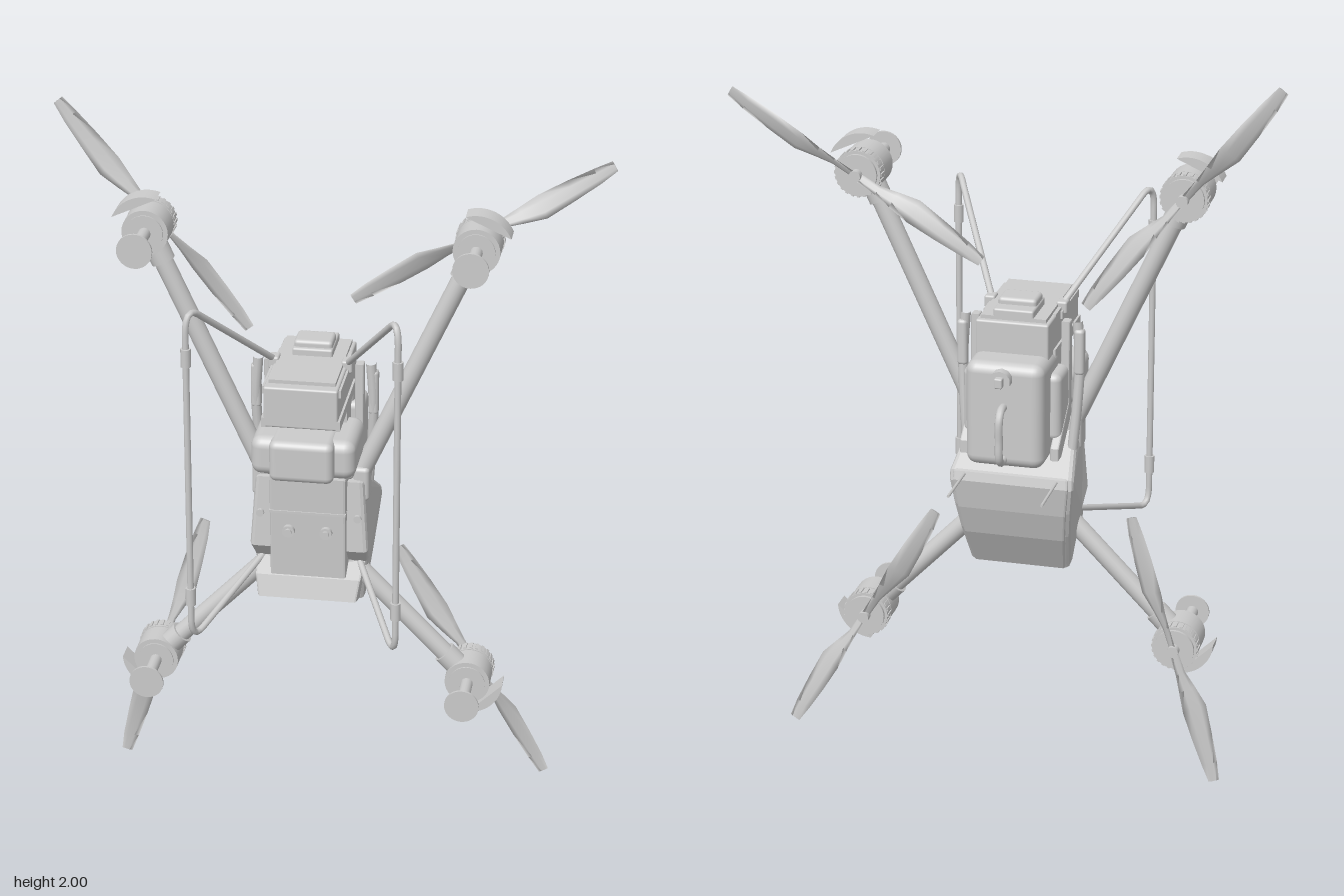
import * as THREE from 'three';
import { RoundedBoxGeometry } from 'three/addons/geometries/RoundedBoxGeometry.js';

const mat = new THREE.MeshStandardMaterial({ color: 0xcccccc });
const matDouble = new THREE.MeshStandardMaterial({ color: 0xcccccc, side: THREE.DoubleSide });
const V = (x, y, z) => new THREE.Vector3(x, y, z);

function add(parent, name, geo, material = mat) {
  const m = new THREE.Mesh(geo, material);
  m.name = name;
  parent.add(m);
  return m;
}

// Box given by its centre x, width and the y and z ranges; r rounds the edges
function box(parent, name, x, w, y0, y1, z0, z1, r = 0) {
  const h = y1 - y0, d = z1 - z0;
  const g = r ? new RoundedBoxGeometry(w, h, d, 3, r) : new THREE.BoxGeometry(w, h, d);
  const m = add(parent, name, g);
  m.position.set(x, (y0 + y1) / 2, (z0 + z1) / 2);
  return m;
}

// Cylinder between two points
function rod(parent, name, a, b, r, sides = 20, r2 = r) {
  const m = add(parent, name, new THREE.CylinderGeometry(r2, r, a.distanceTo(b), sides));
  m.position.copy(a).lerp(b, 0.5);
  m.quaternion.setFromUnitVectors(V(0, 1, 0), b.clone().sub(a).normalize());
  return m;
}

// Side profile [z, y] extruded across x, centred at x
function profile(parent, name, pts, width, x = 0, bevel = 0.008, half = null) {
  const shape = new THREE.Shape(pts.map(p => new THREE.Vector2(p[0], p[1])));
  const g = new THREE.ExtrudeGeometry(shape, {
    depth: width - 2 * bevel, bevelEnabled: bevel > 0, bevelSize: bevel, bevelThickness: bevel,
    bevelOffset: -bevel, bevelSegments: 2, steps: 1,
  });
  g.translate(0, 0, -(width - 2 * bevel) / 2).rotateY(-Math.PI / 2);
  if (half) {
    // Taper: scale x by the half-width wanted at this height
    const p = g.attributes.position;
    for (let i = 0; i < p.count; i++) p.setX(i, p.getX(i) * half(p.getY(i)) / (width / 2));
    g.computeVertexNormals();
  }
  const m = add(parent, name, g);
  m.position.x = x;
  return m;
}

// Twisted blade lofted along +x from six-point sections
function bladeGeometry(spin) {
  const stations = [ // distance, chord, chord offset, pitch
    [0.01, 0.024, 0, 0.5], [0.07, 0.028, 0, 0.6], [0.12, 0.048, 0.004, 0.6], [0.18, 0.068, 0.008, 0.45],
    [0.27, 0.057, 0.004, 0.3], [0.35, 0.044, 0.001, 0.18], [0.404, 0.03, -0.002, 0.1]];
  const section = [[-0.5, 0], [-0.2, -0.05], [0.25, -0.05], [0.5, 0], [0.25, 0.05], [-0.2, 0.05]];
  const pos = [], idx = [], n = section.length;
  for (const [d, c, off, pitch] of stations)
    for (const [u, v] of section) {
      const a = u * c, b = v * c;
      pos.push(d, spin * (off + a * Math.cos(pitch) - b * Math.sin(pitch)), a * Math.sin(pitch) + b * Math.cos(pitch));
    }
  for (let s = 0; s < stations.length - 1; s++)
    for (let i = 0; i < n; i++) {
      const a = s * n + i, b = s * n + (i + 1) % n;
      idx.push(a, a + n, b, b, a + n, b + n);
    }
  const last = (stations.length - 1) * n;
  for (let i = 1; i < n - 1; i++) idx.push(last, last + i, last + i + 1);
  const g = new THREE.BufferGeometry();
  g.setAttribute('position', new THREE.Float32BufferAttribute(pos, 3));
  g.setIndex(idx);
  g.computeVertexNormals();
  return g;
}

// Arm, motor, foot and propeller of one corner
function rotorArm(parent, root, x, y, propAngle, spin) {
  const g = new THREE.Group();
  g.name = 'rotorArm';
  parent.add(g);
  const centre = V(x, y, -0.005);
  rod(g, 'armTube', root, centre, 0.026);
  const dir = centre.clone().sub(root).normalize();
  rod(g, 'armCollar', centre.clone().addScaledVector(dir, -0.1), centre, 0.033);

  const unit = new THREE.Group();
  unit.name = 'motorUnit';
  unit.position.set(x, y, 0);
  g.add(unit);
  const disc = (name, r, z0, z1, sides = 32) => rod(unit, name, V(0, 0, z0), V(0, 0, z1), r, sides);
  disc('motorMount', 0.063, -0.042, 0.034);
  disc('mountCap', 0.05, 0.03, 0.038);
  disc('motorBell', 0.063, -0.082, -0.046);
  disc('motorCore', 0.055, -0.09, -0.04);
  disc('propellerHub', 0.016, -0.112, -0.085, 16);
  disc('footPost', 0.017, 0.03, 0.167, 16);
  disc('footPad', 0.048, 0.163, 0.17);
  for (let i = 0; i < 24; i++) { // cooling fins on the bell
    const a = i * Math.PI / 12;
    const fin = box(unit, 'motorFin', 0, 0.008, -0.004, 0.004, -0.08, -0.052);
    fin.position.x = Math.cos(a) * 0.062;
    fin.position.y = Math.sin(a) * 0.062;
    fin.rotation.z = a;
  }
  // Fan-shaped outer housing
  const a0 = Math.atan2(dir.y, dir.x);
  const fan = new THREE.Shape();
  fan.moveTo(0, 0);
  fan.absarc(0, 0, 0.098, a0 - 0.75, a0 + 0.75, false);
  const fg = new THREE.ExtrudeGeometry(fan, { depth: 0.06, bevelEnabled: false, curveSegments: 16 });
  add(unit, 'motorHousing', fg.translate(0, 0, -0.033));

  const prop = new THREE.Group();
  prop.name = 'propeller';
  prop.position.z = -0.1;
  prop.rotation.z = propAngle * Math.PI / 180;
  unit.add(prop);
  for (const turn of [0, Math.PI]) add(prop, 'blade', bladeGeometry(spin), matDouble).rotation.z = turn;
}

export function createModel() {
  const model = new THREE.Group();
  model.name = 'drone';
  model.position.x = -0.047;

  // Fuselage: tapered shell, front plate, chin and rear cover
  const half = y => y > 0.88 ? 0.174 - (y - 0.88) * 0.22 : 0.174 - (0.88 - y) * 0.115;
  profile(model, 'fuselageShell', [[0.045, 0.995], [-0.025, 0.995], [-0.165, 0.895], [-0.172, 0.865], [-0.155, 0.79],
    [-0.125, 0.71], [-0.06, 0.59], [-0.03, 0.6], [0.015, 0.74], [0.06, 0.79]], 0.34, 0, 0.012, half);
  profile(model, 'rearCover', [[-0.15, 0.9], [-0.172, 0.895], [-0.178, 0.87], [-0.162, 0.785], [-0.132, 0.7],
    [-0.068, 0.59], [-0.055, 0.59], [-0.11, 0.7]], 0.32, 0, 0.006, y => half(y) - 0.012);
  profile(model, 'frontPlate', [[0.082, 1.015], [-0.03, 1.015], [-0.03, 0.64], [0.07, 0.66]], 0.21, 0, 0.006);
  profile(model, 'chin', [[0.075, 0.71], [0.092, 0.65], [-0.055, 0.587], [-0.06, 0.7], [0, 0.75]], 0.29, 0, 0.006,
    y => 0.128 + (y - 0.59) * 0.16);
  box(model, 'plateSeam', 0, 0.212, 0.905, 0.912, 0.02, 0.082);
  for (const s of [-1, 1]) {
    rod(model, 'lensRing', V(s * 0.052, 0.853, 0.06), V(s * 0.052, 0.853, 0.09), 0.017);
    rod(model, 'lens', V(s * 0.052, 0.853, 0.06), V(s * 0.052, 0.853, 0.097), 0.01);
  }

  // Central spine, sensor pod and battery
  box(model, 'spine', 0, 0.2, 0.96, 1.33, -0.07, 0.025);
  box(model, 'sensorPod', 0, 0.285, 1.053, 1.164, -0.035, 0.165, 0.03);
  box(model, 'podFace', 0, 0.175, 1.05, 1.168, 0.02, 0.193, 0.02);
  box(model, 'podSkirt', 0, 0.25, 1.01, 1.06, -0.03, 0.07, 0.015);
  box(model, 'battery', 0, 0.2, 1.212, 1.328, -0.155, 0.19, 0.006);
  box(model, 'batteryLid', 0, 0.18, 1.32, 1.338, -0.14, 0.16);
  box(model, 'batteryLatch', 0, 0.11, 1.33, 1.358, -0.14, -0.01, 0.006);
  box(model, 'topConnector', 0, 0.105, 1.335, 1.376, -0.1, -0.022, 0.01);
  for (const s of [-1, 1]) {
    box(model, 'batteryRail', s * 0.1, 0.012, 1.3, 1.322, -0.02, 0.17);
    box(model, 'batteryBase', s * 0.1, 0.012, 1.212, 1.24, -0.1, 0.19);
  }

  // Rear tank with cap and handle
  box(model, 'tank', 0, 0.215, 0.945, 1.24, -0.245, -0.05, 0.03);
  box(model, 'tankCheek', 0, 0.27, 1.0, 1.19, -0.16, -0.05, 0.02);
  rod(model, 'tankNeck', V(0, 1.207, -0.24), V(0, 1.207, -0.28), 0.014);
  rod(model, 'tankCap', V(0, 1.207, -0.258), V(0, 1.207, -0.284), 0.029, 10);
  box(model, 'capGrip', 0, 0.022, 1.193, 1.221, -0.302, -0.28, 0.004);
  const handle = new THREE.CatmullRomCurve3([V(0, 1.12, -0.23), V(0, 1.12, -0.27), V(0, 1.1, -0.289), V(0, 1.04, -0.291),
    V(0, 0.99, -0.289), V(0, 0.972, -0.27), V(0, 0.972, -0.23)]);
  add(model, 'tankHandle', new THREE.TubeGeometry(handle, 32, 0.011, 10));

  for (const s of [-1, 1]) {
    // Tank brackets and side rails
    profile(model, 'tankBracket', [[-0.035, 1.31], [-0.065, 1.31], [-0.07, 1.08], [-0.185, 0.99], [-0.185, 0.955],
      [-0.15, 0.955], [-0.035, 1.04]], 0.024, s * 0.125, 0.004);
    const rail = new THREE.CatmullRomCurve3([V(s * 0.155, 1.31, -0.05), V(s * 0.162, 1.2, -0.052),
      V(s * 0.158, 1.08, -0.06), V(s * 0.148, 0.95, -0.07)]);
    add(model, 'sideRail', new THREE.TubeGeometry(rail, 20, 0.014, 10));
    box(model, 'railPad', s * 0.162, 0.028, 1.16, 1.29, -0.07, -0.04, 0.01);
    box(model, 'armClamp', s * 0.14, 0.045, 0.93, 1.03, -0.035, 0.03, 0.012);
    rod(model, 'hingePin', V(s * 0.135, 0.89, 0), V(s * 0.135, 0.89, 0.062), 0.011, 12);
    rod(model, 'antenna', V(s * 0.128, 0.888, -0.1), V(s * 0.128, 0.888, -0.335), 0.004, 8);

    // Landing loop
    const points = [V(s * 0.1, 1.335, 0.015), V(s * 0.255, 1.575, 0.285), V(s * 0.278, 1.57, 0.325),
      V(s * 0.278, 0.65, 0.325), V(s * 0.255, 0.64, 0.285), V(s * 0.135, 0.74, 0.01)];
    const loop = new THREE.CurvePath();
    const knots = [points[0], V(s * 0.25, 1.56, 0.275), V(s * 0.278, 1.53, 0.327), V(s * 0.278, 0.69, 0.327),
      V(s * 0.255, 0.645, 0.285), points[5]];
    const corners = { 1: V(s * 0.276, 1.605, 0.325), 3: V(s * 0.278, 0.625, 0.325) };
    for (let i = 0; i < knots.length - 1; i++)
      loop.add(corners[i] ? new THREE.QuadraticBezierCurve3(knots[i], corners[i], knots[i + 1])
        : new THREE.LineCurve3(knots[i], knots[i + 1]));
    add(model, 'landingLoop', new THREE.TubeGeometry(loop, 120, 0.009, 10));
    for (const y of [1.46, 0.76])
      rod(model, 'loopSleeve', V(s * 0.278, y - 0.025, 0.327), V(s * 0.278, y + 0.025, 0.327), 0.014, 12);
    box(model, 'loopSocket', s * 0.1, 0.03, 1.31, 1.345, -0.01, 0.03, 0.006);
  }

  // Four rotor arms
  for (const [s, top, angle, spin] of [[-1, 1, 129.5, 1], [1, 1, 31, -1], [-1, 0, 252, -1], [1, 0, -58, 1]])
    rotorArm(model, top ? V(s * 0.12, 0.97, -0.005) : V(s * 0.1, 0.745, -0.005),
      s * 0.443, top ? 1.683 : 0.392, angle, spin);
  return model;
}
